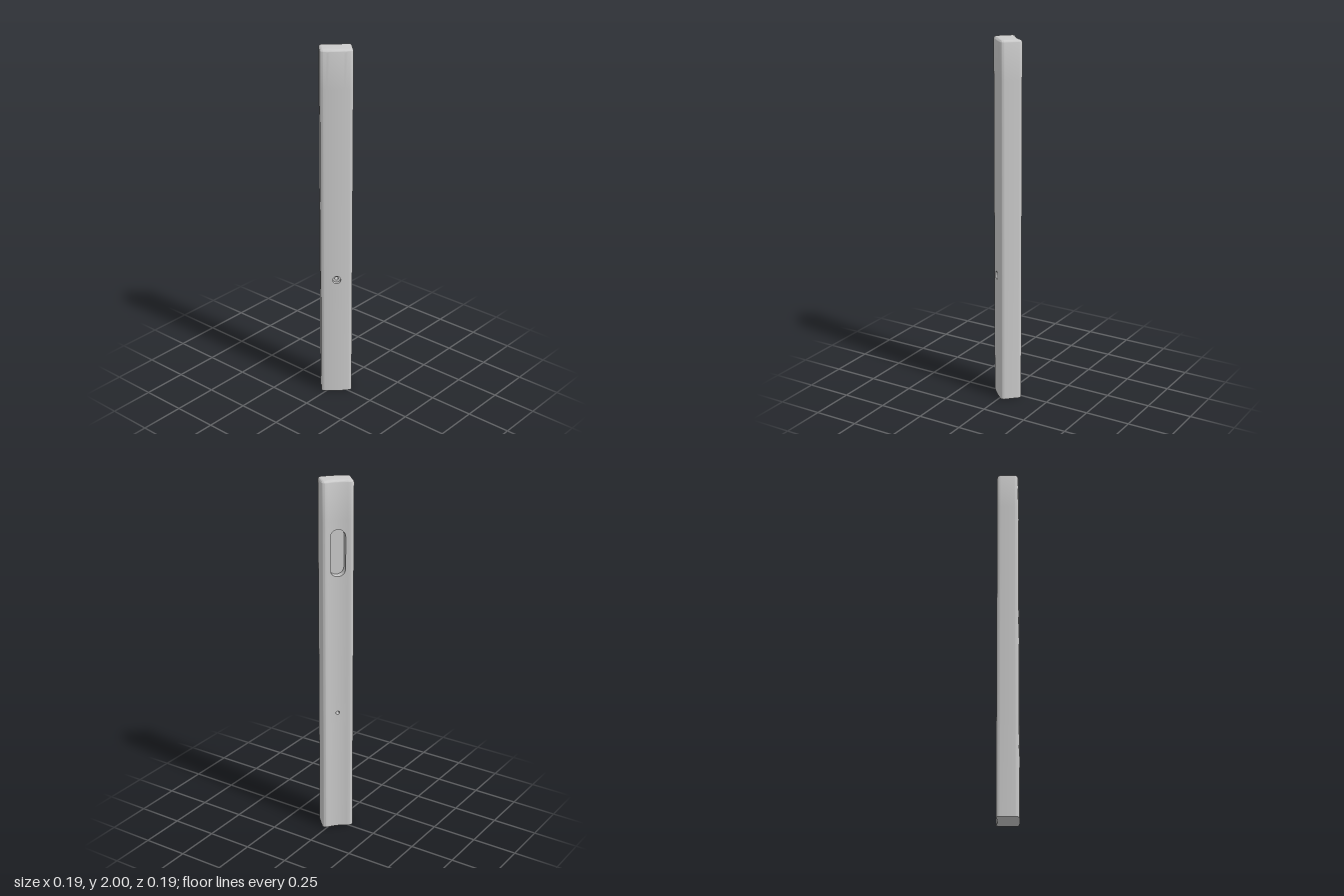
import * as THREE from 'three';
import { toCreasedNormals } from 'three/addons/utils/BufferGeometryUtils.js';

// Local frame: u across the wide faces, v towards the hollow back, y up.
const HEIGHT = 2, FILLET = 0.015, CORNER = 0.02;
const BACK = { end: 0.0612, mid: 0.052, rise: 0.0074, sign: 1 };
const FRONT = { end: 0.0686, mid: -0.062, rise: 0.0042, sign: -1 };
const faceV = (face, u) => face.mid + face.rise * (u / face.end) ** 2;

// Openings in the two wide faces: rectangular window, slot radius r and half length h
const SLOT = { face: BACK, w: 0.0408, y0: 1.44, y1: 1.79, r: 0.0405, h: 0.087 };
const SMALL = { face: BACK, w: 0.0408, y0: 0.65, y1: 0.76, r: 0.01, h: 0 };
const BORE = { face: FRONT, w: 0.0343, y0: 0.65, y1: 0.76, r: 0.022, h: 0 };
SLOT.w = BACK.end * 10 / 12;
SMALL.w = BACK.end * 8 / 12;
BORE.w = FRONT.end * 6 / 12;
const OPENINGS = [SLOT, SMALL, BORE];

function toMesh(name, positions) {
  const g = new THREE.BufferGeometry();
  g.setAttribute('position', new THREE.Float32BufferAttribute(positions, 3));
  const mesh = new THREE.Mesh(toCreasedNormals(g, 0.6), new THREE.MeshStandardMaterial({ color: 0xcccccc }));
  mesh.name = name;
  return mesh;
}

const put = (out, ...points) => points.forEach(([u, y, v]) => out.push(u, y, -v));

// Cross-section, counter-clockwise from above: front, corners, hollow back
function crossSection() {
  const pts = [];
  const line = (face) => {
    for (let i = 0; i <= 12; i++) {
      const u = -face.sign * face.end * (i / 6 - 1);
      pts.push([u, faceV(face, u)]);
    }
  };
  const arc = (cu, cv, a0, a1) => {
    for (let i = 1; i < 8; i++) {
      const a = a0 + (a1 - a0) * i / 8;
      pts.push([cu + CORNER * Math.cos(a), cv + CORNER * Math.sin(a)]);
    }
  };
  const q = Math.PI / 2, f = 0.13, b = 0.24;
  line(FRONT);
  arc(0.066, -0.038, -q + f, 0);
  pts.push([0.086, -0.038], [0.086, 0.04]);
  arc(0.066, 0.04, 0, q + b);
  line(BACK);
  arc(-0.066, 0.04, q - b, 2 * q);
  pts.push([-0.086, 0.04], [-0.086, -0.038]);
  arc(-0.066, -0.038, 2 * q, 3 * q - f);
  return pts;
}

// Bar with rounded top edge, sharp foot and windows left for the openings
function buildBody() {
  const section = crossSection(), n = section.length, out = [];
  const normals = section.map((_, i) => {
    const [au, av] = section[(i + n - 1) % n], [bu, bv] = section[(i + 1) % n];
    const l = Math.hypot(bu - au, bv - av);
    return [(bv - av) / l, (au - bu) / l];
  });
  const levels = [0, 0.65, 0.76, 1.44, 1.79].map((y) => [y, 0]);
  for (let i = 0; i <= 6; i++) {
    const a = i / 6 * Math.PI / 2;
    levels.push([HEIGHT - FILLET * (1 - Math.sin(a)), FILLET * (1 - Math.cos(a))]);
  }
  const at = (i, [y, inset]) => {
    const k = i % n;
    return [section[k][0] - normals[k][0] * inset, y, section[k][1] - normals[k][1] * inset];
  };
  const isOpen = (i, j) => {
    const [u0, v0] = section[i], [u1, v1] = section[(i + 1) % n];
    const u = (u0 + u1) / 2, y = (levels[j][0] + levels[j + 1][0]) / 2;
    return OPENINGS.some((o) => Math.abs(u) < o.w && y > o.y0 && y < o.y1 && v0 * o.face.sign > 0 && v1 * o.face.sign > 0);
  };
  const top = levels[levels.length - 1];
  for (let i = 0; i < n; i++) {
    for (let j = 0; j < levels.length - 1; j++) {
      if (isOpen(i, j)) continue;
      const a = at(i, levels[j]), b = at(i + 1, levels[j]);
      const c = at(i + 1, levels[j + 1]), d = at(i, levels[j + 1]);
      put(out, a, b, c, a, c, d);
    }
    put(out, [0, HEIGHT, 0], at(i, top), at(i + 1, top));
    put(out, [0, 0, 0], at(i + 1, levels[0]), at(i, levels[0]));
  }
  return toMesh('body', out);
}

// Distance from the centre to the rim of a slot along angle a
function rimDistance(a, r, h) {
  const c = Math.abs(Math.cos(a)), s = Math.abs(Math.sin(a));
  if (c > 1e-6 && r / c * s <= h) return r / c;
  return h * s + Math.sqrt(Math.max(0, r * r - h * h * c * c));
}

// Curved surround, then inner rings given as { r, h, v }
function buildOpening(name, { face, w, y0, y1, r, h }, inner) {
  const yc = (y0 + y1) / 2, hh = (y1 - y0) / 2, corner = Math.atan2(hh, w);
  const angles = [corner, Math.PI - corner, Math.PI + corner, 2 * Math.PI - corner];
  for (let i = 0; i < 72; i++) angles.push(i / 72 * 2 * Math.PI);
  angles.sort((a, b) => a - b);

  const rings = [];
  for (let k = 0; k <= 5; k++) {
    rings.push(angles.map((a) => {
      const c = Math.cos(a), s = Math.sin(a);
      const edge = Math.min(w / Math.max(Math.abs(c), 1e-6), hh / Math.max(Math.abs(s), 1e-6));
      const t = THREE.MathUtils.lerp(edge, rimDistance(a, r, h), k / 5);
      return [t * c, yc + t * s, faceV(face, t * c)];
    }));
  }
  for (const ring of inner) {
    rings.push(angles.map((a) => {
      const t = rimDistance(a, ring.r, ring.h);
      return [t * Math.cos(a), yc + t * Math.sin(a), ring.v];
    }));
  }
  const out = [];
  for (let k = 0; k < rings.length - 1; k++) {
    for (let i = 0; i < angles.length; i++) {
      const j = (i + 1) % angles.length;
      const a = rings[k][i], b = rings[k][j], c = rings[k + 1][j], d = rings[k + 1][i];
      if (face === FRONT) put(out, a, b, c, a, c, d);
      else put(out, a, c, b, a, d, c);
    }
  }
  return toMesh(name, out);
}

export function createModel() {
  const group = new THREE.Group();
  group.name = 'bar';
  group.add(buildBody());

  // Blind finger slot in the hollow face
  const floor = BACK.mid - 0.042;
  group.add(buildOpening('fingerSlot', SLOT, [
    { r: SLOT.r, h: SLOT.h, v: floor },
    { r: 0.002, h: SLOT.h, v: floor },
  ].concat({ r: 0.00001, h: SLOT.h, v: floor })));

  // Screw hole through the bar, counterbored on the front
  group.add(buildOpening('screwHoleBack', SMALL, [{ r: 0.01, h: 0, v: 0 }]));
  const seat = FRONT.mid + 0.02;
  group.add(buildOpening('screwHoleFront', BORE, [
    { r: 0.022, h: 0, v: seat },
    { r: 0.01, h: 0, v: seat },
    { r: 0.01, h: 0, v: 0 },
  ]));

  // The bar stands turned an eighth of a turn
  group.rotation.y = -Math.PI / 4;
  return group;
}
